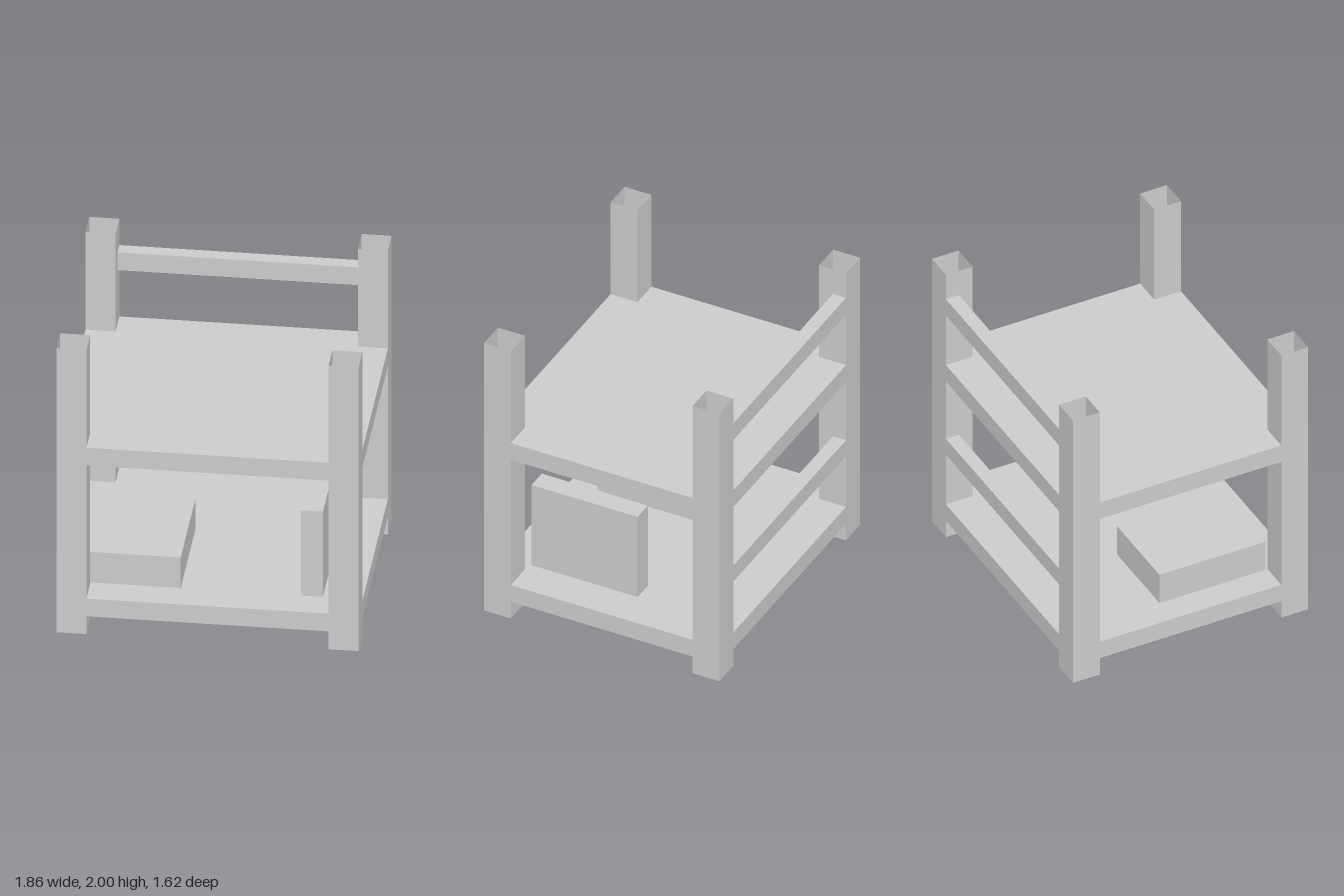
import * as THREE from 'three';

const W = 0.93, D = 0.81, H = 2, POST = 0.185;

export function createModel() {
  const group = new THREE.Group();
  const solid = new THREE.MeshStandardMaterial({ color: 0xcccccc });
  const open = new THREE.MeshStandardMaterial({ color: 0xcccccc, side: THREE.DoubleSide });

  const add = (name, geometry, material = solid) => {
    const mesh = new THREE.Mesh(geometry, material);
    mesh.name = name;
    group.add(mesh);
    return mesh;
  };

  // Box given by its extents along each axis
  const addBox = (name, [x0, x1], [y0, y1], [z0, z1]) =>
    add(name, new THREE.BoxGeometry(x1 - x0, y1 - y0, z1 - z0))
      .position.set((x0 + x1) / 2, (y0 + y1) / 2, (z0 + z1) / 2);

  // Thin-walled corner posts, open at the top
  const postGeometry = new THREE.BoxGeometry(POST, H, POST);
  const faces = Array.from(postGeometry.index.array);
  faces.splice(12, 6); // drop the top face
  postGeometry.setIndex(faces);
  postGeometry.clearGroups();
  for (const sx of [-1, 1]) {
    for (const sz of [-1, 1]) {
      const name = (sz > 0 ? 'front' : 'back') + (sx > 0 ? 'Left' : 'Right') + 'Post';
      add(name, postGeometry, open)
        .position.set(sx * (W - POST / 2), H / 2, sz * (D - POST / 2));
    }
  }

  // Shelves: plates with the corners notched around the posts
  const ix = W - POST, iz = D - POST;
  const outline = new THREE.Shape([
    [-ix, -D], [ix, -D], [ix, -iz], [W, -iz], [W, iz], [ix, iz],
    [ix, D], [-ix, D], [-ix, iz], [-W, iz], [-W, -iz], [-ix, -iz],
  ].map(([x, y]) => new THREE.Vector2(x, y)));
  const shelfGeometry = new THREE.ExtrudeGeometry(outline, { depth: 0.125, bevelEnabled: false });
  shelfGeometry.rotateX(-Math.PI / 2);
  add('lowerShelf', shelfGeometry).position.y = 0.125;
  add('upperShelf', shelfGeometry).position.y = 1.1875;

  // Back rails
  addBox('lowerBackRail', [-ix, ix], [0.63, 0.75], [-D, -0.72]);
  addBox('upperBackRail', [-ix, ix], [1.69, 1.815], [-D, -0.72]);

  // Boxes standing on the lower shelf
  addBox('lowBox', [-0.75, -0.19], [0.25, 0.465], [-0.12, 0.61]);
  addBox('tallBox', [0.55, 0.685], [0.25, 0.85], [-0.12, 0.61]);

  return group;
}
